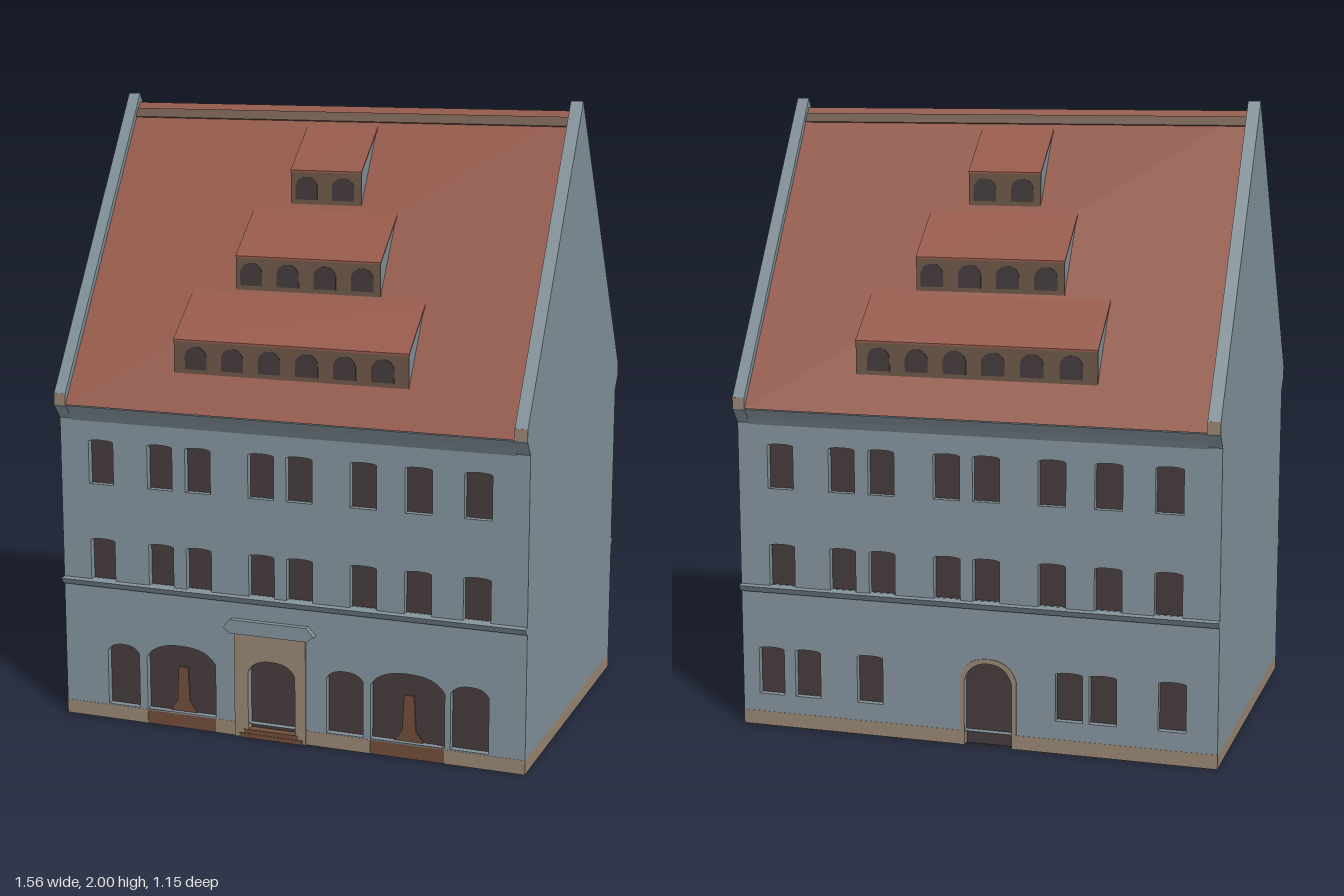
import * as THREE from 'three';

const mat = (name, color, side = THREE.FrontSide) => {
  const m = new THREE.MeshStandardMaterial({ color, side });
  m.name = name;
  return m;
};
const M = {
  wall: mat('blue grey plaster', 0x82919a, THREE.DoubleSide),
  roof: mat('red roof tile', 0x96594a),
  glass: mat('dark glass', 0x453b3b),
  stone: mat('tan stone', 0x978571),
  brown: mat('dormer brown', 0x6c5647),
  wood: mat('door wood', 0x6f4d3b),
};

const W = 0.78, D = 0.54, IN = 0.74;   // half width, half depth, inside of gables
const EAVE = 0.575, SLOPE = 1.609;     // roof edge and pitch

function add(parent, name, geo, material, x = 0, y = 0, z = 0) {
  const m = new THREE.Mesh(geo, material);
  m.name = name;
  m.position.set(x, y, z);
  parent.add(m);
  return m;
}
function box(parent, name, material, x0, x1, y0, y1, z0, z1) {
  return add(parent, name, new THREE.BoxGeometry(x1 - x0, y1 - y0, z1 - z0), material,
    (x0 + x1) / 2, (y0 + y1) / 2, (z0 + z1) / 2);
}
const extrude = (shape, depth) =>
  new THREE.ExtrudeGeometry(shape, { depth, bevelEnabled: false, curveSegments: 10 });

// Sweep a (z, y) profile along x from x0 to x1
function sweep(parent, name, material, pts, x0, x1) {
  const shape = new THREE.Shape(pts.map(([z, y]) => new THREE.Vector2(-z, y)));
  const geo = extrude(shape, x1 - x0);
  geo.rotateY(Math.PI / 2);
  return add(parent, name, geo, material, x0);
}

// Opening outline with an arched top: centre, width, bottom, top, rise
function opening([cx, w, y0, y1, rise = 0], Type = THREE.Shape) {
  const s = new Type(), a = cx - w / 2, b = cx + w / 2;
  s.moveTo(a, y0);
  s.lineTo(b, y0);
  s.lineTo(b, y1 - rise);
  if (rise) {
    s.bezierCurveTo(b - w * 0.08, y1 - rise * 0.3, cx + w * 0.25, y1, cx, y1);
    s.bezierCurveTo(cx - w * 0.25, y1, a + w * 0.08, y1 - rise * 0.3, a, y1 - rise);
  } else s.lineTo(a, y1);
  s.closePath();
  return s;
}

const rect = (x0, x1, y0, y1) => new THREE.Shape([[x0, y0], [x1, y0], [x1, y1], [x0, y1]]
  .map(p => new THREE.Vector2(...p)));

// Facade wall with holes, recessed panes, cornice and eave moulding
function facade(name, ground, plinthGaps) {
  const g = new THREE.Group();
  g.name = name;
  const xs = [-0.637, -0.43, -0.298, -0.083, 0.045, 0.256, 0.434, 0.622];
  const all = [...ground];
  for (const x of xs) all.push([x, 0.087, 0.785, 0.93, 0.006], [x, 0.087, 0.467, 0.605, 0.006]);

  const wall = rect(-IN, IN, 0.045, 1.0);
  for (const o of all) {
    wall.holes.push(opening([o[0], o[1], Math.max(o[2], 0.046), o[3], o[4]], THREE.Path));
    add(g, 'windowPane', extrude(opening(o), 0.008), M.glass, 0, 0, D - 0.03);
  }
  add(g, 'facadeWall', extrude(wall, 0.04), M.wall, 0, 0, D - 0.04);

  // stone plinth, interrupted at the doors
  let x = -IN;
  for (const [a, b] of [...plinthGaps, [IN, IN]]) {
    box(g, 'plinth', M.stone, x, a, 0, 0.046, D - 0.04, D + 0.001);
    x = b;
  }
  sweep(g, 'cornice', M.wall,
    [[D - 0.01, 0.44], [D + 0.008, 0.445], [D + 0.022, 0.465], [D - 0.01, 0.468]], -W, W);
  sweep(g, 'eaveMoulding', M.wall,
    [[D - 0.04, 0.99], [D, 0.99], [D + 0.012, 1.012], [EAVE - 0.001, 1.042], [D - 0.04, 1.042]], -IN, IN);
  for (const s of [-1, 1])
    box(g, 'gableFoot', M.stone, s * 0.76 - 0.02, s * 0.76 + 0.02, 1.042, 1.08, EAVE - 0.004, EAVE + 0.001);
  return g;
}

// Shed dormer whose front foot sits on the roof at height y
function dormer(half, y, count) {
  const g = new THREE.Group();
  g.name = 'dormer';
  const z = EAVE - (y - 1.045) / SLOPE, h = 0.105, run = 0.148, top = y + h + 0.9 * run;
  sweep(g, 'dormerBody', M.wall, [[z, y], [z, y + h - 0.004], [z - run, top - 0.004]], -half + 0.002, half - 0.002);
  sweep(g, 'dormerRoof', M.roof,
    [[z + 0.003, y + h - 0.004], [z + 0.003, y + h + 0.002], [z - run, top + 0.002], [z - run, top - 0.006]], -half, half);
  box(g, 'dormerFront', M.brown, -half + 0.001, half - 0.001, y, y + h - 0.003, z - 0.003, z + 0.002);
  for (let i = 0; i < count; i++) {
    const x = (i - (count - 1) / 2) * 0.124 - 0.004;
    add(g, 'dormerWindow', extrude(opening([x, 0.074, y + 0.014, y + 0.086, 0.028]), 0.002), M.glass, 0, 0, z + 0.002);
  }
  return g;
}

// Ground floor front: arched windows, shop arches, portal, hood and steps
function frontDetails(g) {
  for (const cx of [-0.366, 0.402]) {
    box(g, 'archBase', M.wood, cx - 0.121, cx + 0.121, 0, 0.05, D - 0.035, D);
    const post = new THREE.Shape([[-0.05, 0.045], [0.05, 0.045], [0.022, 0.085], [0.016, 0.2], [-0.016, 0.2], [-0.022, 0.085]]
      .map(p => new THREE.Vector2(...p)));
    add(g, 'shopDoorPost', extrude(post, 0.006), M.wood, cx, 0, D - 0.022);
  }
  const portal = rect(-0.177, 0.066, 0, 0.36);
  portal.holes.push(opening([-0.05, 0.16, 0.001, 0.26, 0.04], THREE.Path));
  add(g, 'portal', extrude(portal, 0.008), M.stone, 0, 0, D - 0.002);
  const hood = new THREE.Shape([[-0.21, 0.362], [-0.185, 0.345], [0.075, 0.345], [0.1, 0.362], [0.075, 0.39], [-0.185, 0.39]]
    .map(p => new THREE.Vector2(...p)));
  add(g, 'portalHood', extrude(hood, 0.02), M.wall, 0, 0, D);
  box(g, 'lowerStep', M.wood, -0.16, 0.056, 0, 0.014, D - 0.03, D + 0.01);
  box(g, 'upperStep', M.wood, -0.145, 0.042, 0.014, 0.028, D - 0.03, D + 0.008);
}

export function createModel() {
  const model = new THREE.Group();
  model.name = 'gabledTownHouse';

  const front = facade('frontFacade', [
    [-0.571, 0.113, 0.05, 0.257, 0.028], [-0.366, 0.242, 0.05, 0.275, 0.05],
    [-0.05, 0.16, 0, 0.26, 0.04], [0.196, 0.122, 0.05, 0.257, 0.028],
    [0.402, 0.242, 0.05, 0.275, 0.05], [0.603, 0.122, 0.05, 0.257, 0.028],
  ], [[-0.487, -0.245], [-0.13, 0.03], [0.281, 0.523]]);
  frontDetails(front);

  const smallWindows = [-0.68, -0.555, -0.343, 0.312, 0.42, 0.638];
  const back = facade('backFacade', [
    ...smallWindows.map(x => [x, 0.087, 0.105, 0.262, 0.006]), [0.05, 0.155, 0, 0.27, 0.06],
  ], [[-0.0275, 0.1275]]);
  // thin stone surround of the back door
  const frame = opening([0.05, 0.185, 0, 0.285, 0.065]);
  frame.holes.push(opening([0.05, 0.155, 0.001, 0.27, 0.06], THREE.Path));
  add(back, 'backDoorFrame', extrude(frame, 0.004), M.stone, 0, 0, D - 0.001);
  back.rotation.y = Math.PI;
  model.add(front, back);

  // gable walls with raised parapets, on a stone plinth
  const half = [[D, 0.046], [D, 0.995], [EAVE, 1.04], [EAVE, 1.08]];
  const gable = [...half, [0, 2], ...half.map(([z, y]) => [-z, y]).reverse()];
  for (const s of [-1, 1]) {
    const x0 = s < 0 ? -W : IN;
    sweep(model, 'gableWall', M.wall, gable, x0, x0 + 0.04);
    box(model, 'gablePlinth', M.stone, x0, x0 + 0.04, 0, 0.046, -D - 0.001, D + 0.001);
  }

  // roof slab and ridge bands
  sweep(model, 'roof', M.roof, [[EAVE, 1.045], [0, 1.97], [-EAVE, 1.045], [-EAVE + 0.03, 1.04], [0, 1.92], [EAVE - 0.03, 1.04]], -IN, IN);
  for (const side of [0, Math.PI]) {
    const slope = new THREE.Group();
    slope.name = side ? 'backRoofSlope' : 'frontRoofSlope';
    const y = z => 1.97 - z * SLOPE;
    sweep(slope, 'ridgeBand', M.brown,
      [[0.013, y(0.013)], [0.016, y(0.013) + 0.003], [0.033, y(0.03) + 0.003], [0.03, y(0.03)]], -IN, IN);
    slope.add(dormer(0.39, 1.16, 6), dormer(0.243, 1.41, 4), dormer(0.12, 1.67, 2));
    slope.rotation.y = side;
    model.add(slope);
  }
  return model;
}
